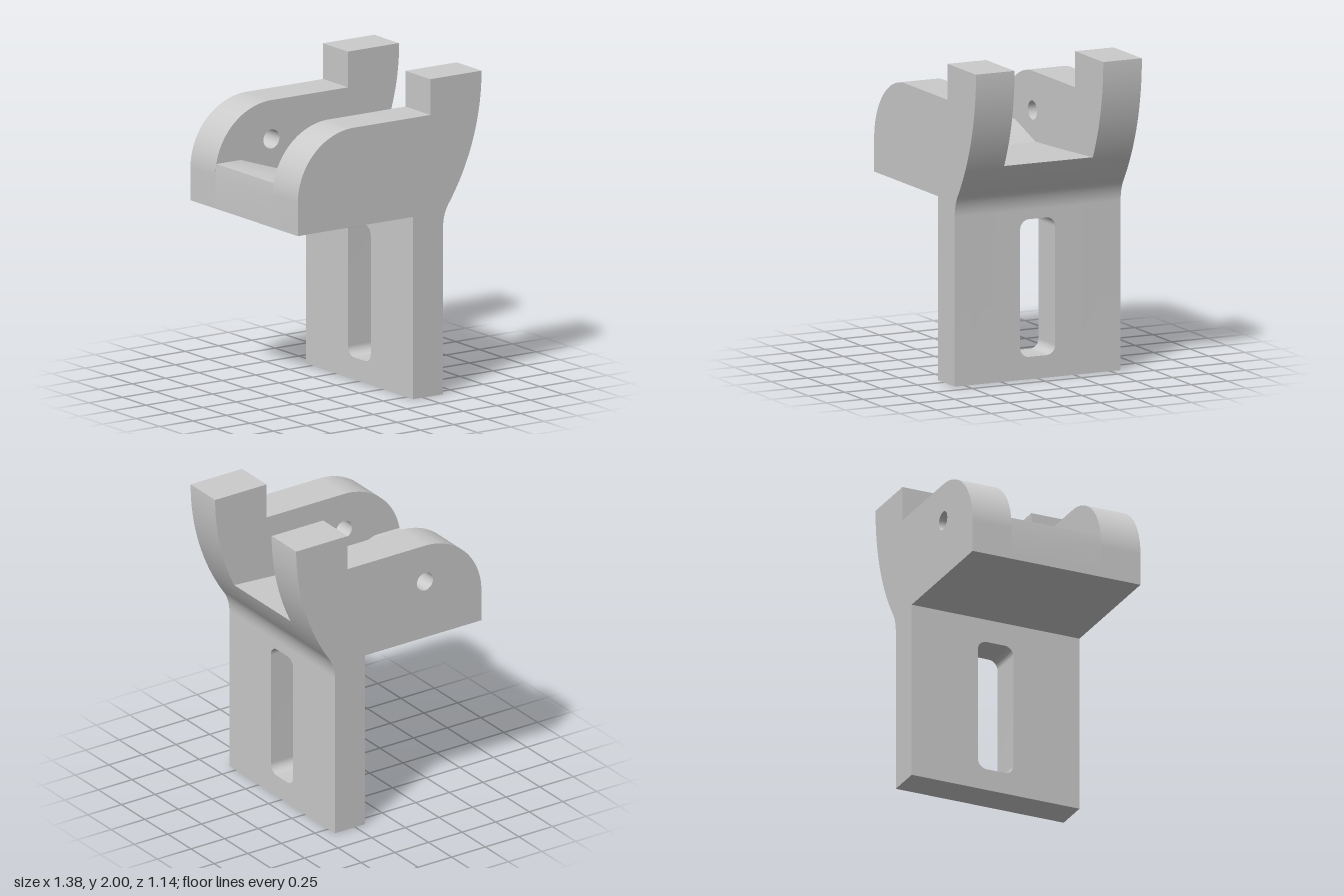
import * as THREE from 'three';
import { toCreasedNormals } from 'three/addons/utils/BufferGeometryUtils.js';

const HALF = 0.57;    // half the overall depth
const INNER = 0.305;  // half the gap between the cheeks
const BLIND = 0.15;   // depth of the blind pin hole
const LEG = [0.175, 0.4];
const BASE = 1.15;    // underside of the overhang

const material = new THREE.MeshStandardMaterial({ color: 0xcccccc });

function extrude(shape, depth) {
  const geo = new THREE.ExtrudeGeometry(shape, { depth, bevelEnabled: false, curveSegments: 32 });
  return toCreasedNormals(geo, 0.5);
}

function addPart(group, name, geo) {
  const mesh = new THREE.Mesh(geo, material);
  mesh.name = name;
  group.add(mesh);
}

// Curved rear edge: small fillet above the leg, then a long sweep up to endAngle
function sweep(shape, endAngle) {
  shape.absarc(0.65, 1.06, 0.25, Math.PI, Math.PI - 0.594, true);
  shape.absarc(-0.742, 2, 1.43, -0.594, endAngle, false);
}

// Side cheek outline, leg included
function cheekShape(withHole) {
  const s = new THREE.Shape();
  s.moveTo(LEG[0], 0);
  s.lineTo(LEG[1], 0);
  sweep(s, 0);
  s.lineTo(0.305, 2);
  s.lineTo(0.305, 1.775);
  s.absarc(-0.27, 1.355, 0.42, Math.PI / 2, Math.PI, false);
  s.lineTo(-0.69, BASE);
  s.lineTo(LEG[0], BASE);
  s.closePath();
  if (withHole) {
    const hole = new THREE.Path();
    hole.absarc(-0.27, 1.53, 0.06, 0, Math.PI * 2, true);
    s.holes.push(hole);
  }
  return s;
}

// Floor between the cheeks: raised lip, ramp, gently rising bed
function floorShape() {
  const s = new THREE.Shape();
  s.moveTo(LEG[0], 1.06);
  s.lineTo(LEG[1], 1.06);
  sweep(s, -0.448);
  s.quadraticCurveTo(0.15, 1.355, -0.23, 1.34);
  s.lineTo(-0.5, 1.43);
  s.lineTo(-0.683, 1.43);
  s.lineTo(-0.69, 1.355);
  s.lineTo(-0.69, BASE);
  s.lineTo(LEG[0], BASE);
  s.closePath();
  return s;
}

// Middle of the leg, with a round-cornered slot
function legShape() {
  const s = new THREE.Shape();
  s.moveTo(-INNER, 0);
  s.lineTo(INNER, 0);
  s.lineTo(INNER, 1.06);
  s.lineTo(-INNER, 1.06);
  s.closePath();
  const slot = new THREE.Path();
  const w = 0.12, r = 0.06, lo = 0.14, hi = 1.0, q = Math.PI / 2;
  slot.absarc(w - r, lo + r, r, -q, 0, false);
  slot.absarc(w - r, hi - r, r, 0, q, false);
  slot.absarc(r - w, hi - r, r, q, 2 * q, false);
  slot.absarc(r - w, lo + r, r, 2 * q, 3 * q, false);
  slot.closePath();
  s.holes.push(slot);
  return s;
}

export function createModel() {
  const group = new THREE.Group();
  group.name = 'slottedBracket';

  // Back cheek: pin hole right through
  addPart(group, 'backCheek', extrude(cheekShape(true), HALF - INNER).translate(0, 0, -HALF));

  // Front cheek: pin hole open only on the inside
  addPart(group, 'frontCheekInner', extrude(cheekShape(true), BLIND).translate(0, 0, INNER));
  addPart(group, 'frontCheekOuter',
    extrude(cheekShape(false), HALF - INNER - BLIND).translate(0, 0, INNER + BLIND));

  addPart(group, 'floor', extrude(floorShape(), 2 * INNER).translate(0, 0, -INNER));
  addPart(group, 'slottedLeg',
    extrude(legShape(), LEG[1] - LEG[0]).rotateY(Math.PI / 2).translate(LEG[0], 0, 0));

  return group;
}
